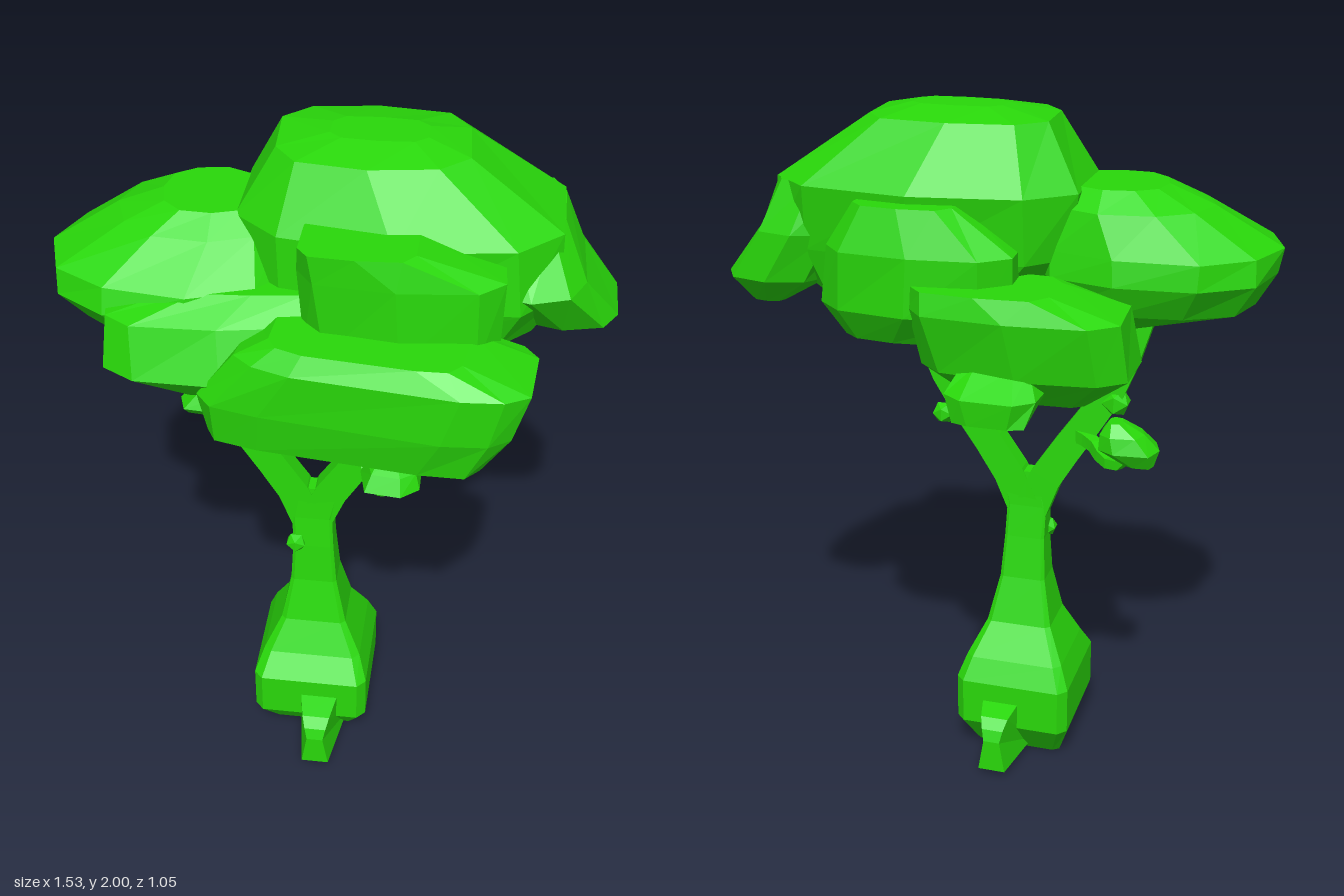
import * as THREE from 'three';

const material = new THREE.MeshStandardMaterial({ color: 0x29d80a, flatShading: true });
const twoSided = material.clone();
twoSided.side = THREE.DoubleSide;

// Closed faceted solid from level rings, listed top to bottom as [y, xMin, xMax, zMin, zMax].
// power below 1 makes the outline boxier; wobble makes it irregular; yaw turns it about its centre.
function loft(name, rings, { sides = 10, power = 0.65, wobble = 0.02, yaw = 0 } = {}) {
  const bend = (v) => Math.sign(v) * Math.abs(v) ** power;
  const loops = rings.map(([y, x0, x1, z0, z1], i) => {
    const loop = [];
    for (let j = 0; j < sides; j++) {
      const a = ((j + 0.5) / sides) * Math.PI * 2;
      const k = 1 + wobble * Math.sin(j * 2.4 + i * 1.7);
      loop.push(new THREE.Vector3(
        (x0 + x1) / 2 + bend(Math.cos(a)) * k * (x1 - x0) / 2,
        y,
        (z0 + z1) / 2 + bend(Math.sin(a)) * k * (z1 - z0) / 2));
    }
    return loop;
  });
  const middle = (loop) => loop.reduce((s, p) => s.add(p), new THREE.Vector3()).divideScalar(sides);
  const top = loops[0], bottom = loops[loops.length - 1];
  const topMid = middle(top), bottomMid = middle(bottom), points = [];
  for (let j = 0; j < sides; j++) {
    const n = (j + 1) % sides;
    points.push(topMid, top[n], top[j], bottomMid, bottom[j], bottom[n]);
    for (let i = 0; i + 1 < loops.length; i++) {
      const u = loops[i], l = loops[i + 1];
      points.push(u[j], u[n], l[n], u[j], l[n], l[j]);
    }
  }
  const geometry = new THREE.BufferGeometry().setFromPoints(points);
  geometry.computeBoundingBox();
  const c = geometry.boundingBox.getCenter(new THREE.Vector3());
  geometry.translate(-c.x, -c.y, -c.z);
  geometry.computeVertexNormals();
  const mesh = new THREE.Mesh(geometry, material);
  mesh.position.copy(c);
  mesh.rotation.y = yaw;
  mesh.name = name;
  return mesh;
}

// Tapering four-sided bar along a smooth path; flat squeezes it in z.
function limb(name, path, r0, r1, flat = 1) {
  const curve = new THREE.CatmullRomCurve3(path.map((p) => new THREE.Vector3(...p)));
  const segments = 7, radial = 4;
  const geometry = new THREE.TubeGeometry(curve, segments, 1, radial, false);
  const pos = geometry.attributes.position, v = new THREE.Vector3();
  for (let i = 0; i < pos.count; i++) {
    const t = Math.floor(i / (radial + 1)) / segments;
    const c = curve.getPointAt(t);
    v.fromBufferAttribute(pos, i).sub(c).applyAxisAngle(curve.getTangentAt(t), Math.PI / 4);
    v.multiplyScalar(r0 + (r1 - r0) * t);
    v.z *= flat;
    v.add(c);
    pos.setXYZ(i, v.x, v.y, v.z);
  }
  geometry.computeVertexNormals();
  const mesh = new THREE.Mesh(geometry, twoSided);
  mesh.name = name;
  return mesh;
}

// Small bump on the bark
function knob(name, x, y, z, r) {
  const mesh = new THREE.Mesh(new THREE.IcosahedronGeometry(r, 0), material);
  mesh.position.set(x, y, z);
  mesh.name = name;
  return mesh;
}

// Rounded root fin, narrowing outward and pinched at mid height
function root(name, zInner, zOuter) {
  const d = zOuter - zInner, s = new THREE.Shape();
  s.moveTo(0, 0.02);
  s.lineTo(d, 0.02);
  s.lineTo(d, 0.12);
  s.lineTo(d * 0.95, 0.155);
  s.lineTo(d * 0.84, 0.185);
  s.lineTo(d * 0.5, 0.203);
  s.lineTo(0, 0.203);
  const geometry = new THREE.ExtrudeGeometry(s, { depth: 0.15, bevelEnabled: false });
  geometry.translate(0, 0, -0.075).rotateY(-Math.PI / 2);
  const pos = geometry.attributes.position;
  for (let i = 0; i < pos.count; i++) {
    const pinch = 0.6 + 0.4 * Math.min(1, Math.abs(pos.getY(i) - 0.12) / 0.09);
    pos.setX(i, pos.getX(i) * pinch * (1 - 0.45 * pos.getZ(i) / d));
  }
  geometry.computeVertexNormals();
  const mesh = new THREE.Mesh(geometry, twoSided);
  mesh.position.set(-0.02, 0, zInner);
  mesh.name = name;
  return mesh;
}

export function createModel() {
  const tree = new THREE.Group();
  tree.name = 'tree';

  // Swollen trunk, square with slightly cut corners
  tree.add(loft('trunk', [
    [0.91, -0.1, 0.03, 0.045, 0.1],
    [0.8, -0.118, 0.003, 0.04, 0.105],
    [0.7, -0.115, 0.008, 0.03, 0.115],
    [0.57, -0.122, 0.018, 0.012, 0.125],
    [0.43, -0.15, 0.05, -0.025, 0.157],
    [0.33, -0.2, 0.1, -0.085, 0.205],
    [0.26, -0.227, 0.126, -0.117, 0.257],
    [0.12, -0.227, 0.126, -0.117, 0.257],
    [0, -0.185, 0.085, -0.025, 0.165],
  ], { sides: 8, power: 0.18, wobble: 0 }));

  // Roots at front and back of the base
  const back = root('backRoot', 0, 0.21);
  back.rotation.y = Math.PI;
  tree.add(root('frontRoot', 0.14, 0.36), back);

  // Forked limbs
  tree.add(
    limb('rightLimb', [[-0.07, 0.79, 0.072], [-0.11, 0.89, 0.072], [-0.2, 1.03, 0.072],
      [-0.305, 1.19, 0.072], [-0.37, 1.36, 0.072], [-0.41, 1.5, 0.072]], 0.07, 0.046, 0.62),
    limb('leftLimb', [[-0.05, 0.79, 0.072], [0.0, 0.9, 0.072], [0.08, 1.02, 0.072],
      [0.18, 1.16, 0.072], [0.26, 1.34, 0.072], [0.32, 1.52, 0.072]], 0.07, 0.046, 0.62));

  // Curling twigs with leaf tufts
  tree.add(
    limb('rightTwig', [[-0.2, 1.04, 0.07], [-0.26, 1.03, 0.03], [-0.31, 1.005, -0.03],
      [-0.37, 1.02, -0.07], [-0.39, 1.08, -0.08]], 0.028, 0.015),
    limb('leftTwig', [[0.1, 1.04, 0.07], [0.12, 0.99, 0.12], [0.15, 1.01, 0.19],
      [0.18, 1.05, 0.24], [0.19, 1.1, 0.26]], 0.036, 0.015),
    loft('rightTuft', [
      [1.155, -0.37, -0.33, -0.12, -0.06], [1.12, -0.43, -0.305, -0.14, -0.03],
      [1.075, -0.475, -0.3, -0.15, -0.01], [1.03, -0.46, -0.38, -0.12, -0.06],
    ], { sides: 7 }),
    loft('leftTuft', [
      [1.195, 0.15, 0.22, 0.21, 0.28], [1.165, 0.12, 0.26, 0.18, 0.34],
      [1.12, 0.1, 0.275, 0.155, 0.365], [1.065, 0.16, 0.23, 0.18, 0.25],
    ], { sides: 7 }));

  // Bark bumps
  tree.add(
    knob('trunkKnob', -0.105, 0.71, 0.11, 0.032),
    knob('rightLimbKnob', -0.315, 1.15, 0.07, 0.045),
    knob('leftLimbKnob', 0.2, 1.07, 0.05, 0.035));

  // Foliage clumps
  const clumps = {
    crown: [[[2.0, -0.02, 0.24, -0.1, 0.04], [1.975, -0.16, 0.35, -0.22, 0.15],
      [1.8, -0.26, 0.61, -0.31, 0.24], [1.62, -0.25, 0.62, -0.28, 0.24],
      [1.5, -0.12, 0.54, -0.24, 0.2], [1.46, 0.0, 0.42, -0.14, 0.14]]],
    upperFrontClump: [[[1.84, -0.06, 0.24, 0.15, 0.36], [1.76, -0.075, 0.46, 0.0, 0.365],
      [1.55, -0.05, 0.46, 0.0, 0.365], [1.38, 0.05, 0.38, 0.1, 0.28]], { power: 0.5 }],
    lowerFrontClump: [[[1.62, -0.12, 0.38, 0.22, 0.47], [1.57, -0.2, 0.55, 0.2, 0.5],
      [1.43, -0.31, 0.52, 0.19, 0.5], [1.31, -0.3, 0.45, 0.2, 0.48],
      [1.265, -0.24, 0.26, 0.23, 0.42]], { power: 0.42, yaw: -0.12, sides: 12 }],
    rightFrontClump: [[[1.655, -0.38, 0.0, 0.14, 0.26], [1.6, -0.58, 0.03, 0.08, 0.34],
      [1.46, -0.585, 0.05, 0.06, 0.39], [1.39, -0.42, 0.05, 0.12, 0.34]], { power: 0.6, yaw: 0.1 }],
    rightClump: [[[1.81, -0.46, -0.2, -0.14, 0.12], [1.76, -0.58, -0.12, -0.2, 0.18],
      [1.65, -0.765, -0.07, -0.24, 0.28], [1.58, -0.76, -0.08, -0.25, 0.3],
      [1.49, -0.7, -0.1, -0.2, 0.24], [1.43, -0.46, -0.16, -0.12, 0.14]], { power: 0.88, sides: 11 }],
    leftClump: [[[1.8, 0.34, 0.6, -0.23, 0.1], [1.66, 0.38, 0.665, -0.27, 0.21],
      [1.52, 0.46, 0.765, -0.25, 0.1], [1.44, 0.6, 0.7, -0.17, -0.06]]],
    upperBackClump: [[[1.78, 0.04, 0.32, -0.37, -0.18], [1.66, -0.12, 0.41, -0.405, -0.08],
      [1.5, -0.12, 0.43, -0.4, -0.06], [1.41, 0.06, 0.36, -0.34, -0.16]]],
    lowerBackClump: [[[1.59, -0.24, 0.14, -0.46, -0.2], [1.53, -0.42, 0.16, -0.475, -0.13],
      [1.37, -0.44, 0.13, -0.44, -0.11], [1.28, -0.32, 0.0, -0.35, -0.24]], { power: 0.55 }],
    backTuft: [[[1.395, -0.19, 0.0, -0.42, -0.35], [1.335, -0.23, 0.03, -0.52, -0.33],
      [1.265, -0.2, 0.0, -0.51, -0.44]], { sides: 8 }],
  };
  for (const [name, [rings, options]] of Object.entries(clumps)) tree.add(loft(name, rings, options));

  return tree;
}
